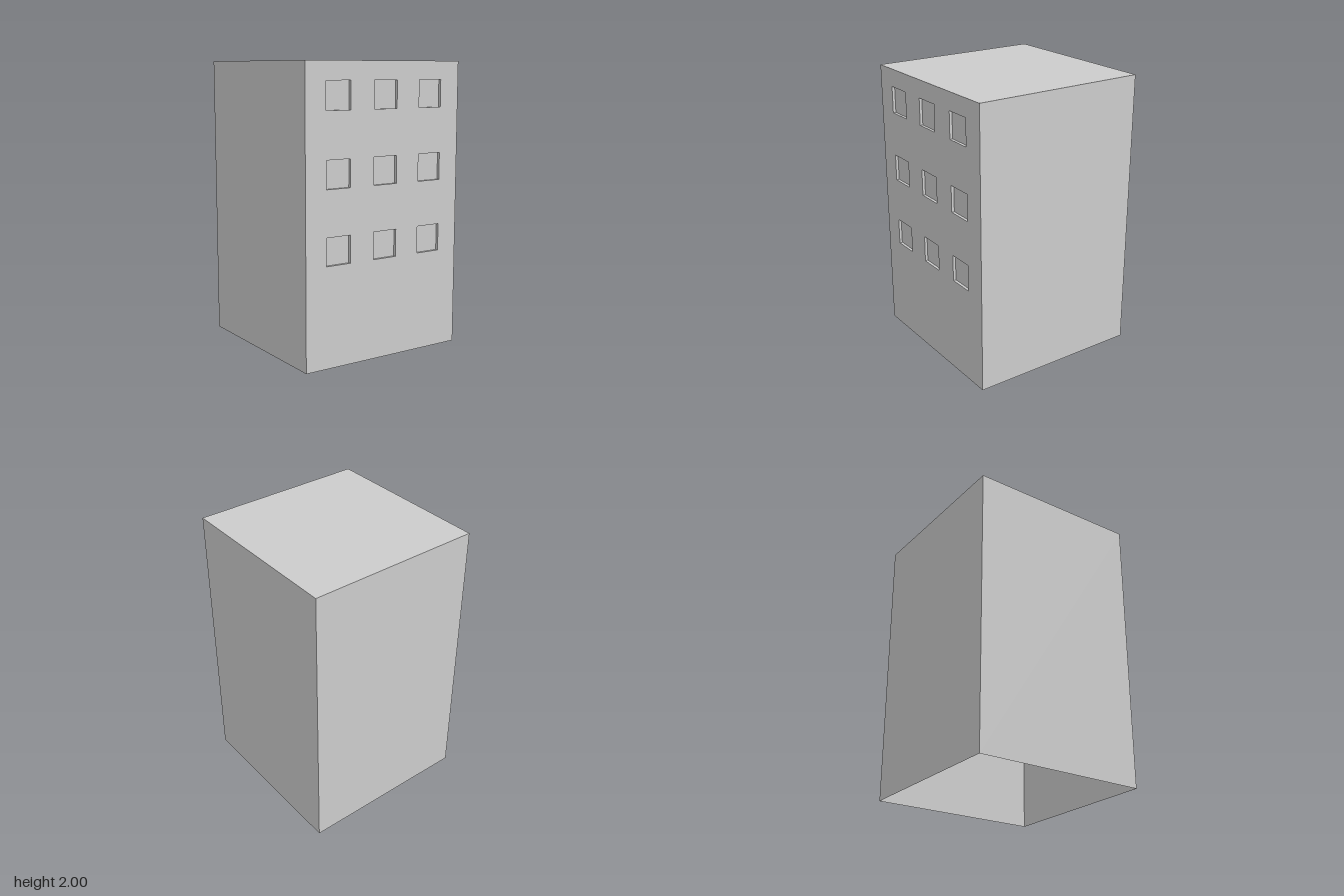
import * as THREE from 'three';

const W = 1.25, H = 2, HALF = W / 2;      // footprint and height
const WIN = 0.1875, DEPTH = 0.02;         // window size and recess depth
const COLS = [-0.375, 0, 0.375];
const ROWS = [0.78125, 1.28125, 1.78125];

const material = new THREE.MeshStandardMaterial({
  color: 0xcccccc, flatShading: true, side: THREE.DoubleSide,
});

// Flat rectangle, facing +z before it is turned
function panel(name, w, h, position, rotX = 0, rotY = 0) {
  const mesh = new THREE.Mesh(new THREE.PlaneGeometry(w, h), material);
  mesh.name = name;
  mesh.position.set(...position);
  mesh.rotation.set(rotX, rotY, 0);
  return mesh;
}

// Front wall with a square opening for each window
function frontWall() {
  const shape = new THREE.Shape();
  shape.moveTo(-HALF, 0).lineTo(HALF, 0).lineTo(HALF, H).lineTo(-HALF, H).closePath();
  const r = WIN / 2;
  for (const y of ROWS) {
    for (const x of COLS) {
      const hole = new THREE.Path();
      hole.moveTo(x - r, y - r).lineTo(x - r, y + r).lineTo(x + r, y + r).lineTo(x + r, y - r).closePath();
      shape.holes.push(hole);
    }
  }
  const mesh = new THREE.Mesh(new THREE.ShapeGeometry(shape), material);
  mesh.name = 'frontWall';
  mesh.position.z = HALF;
  return mesh;
}

// Shallow recess: a pane set back behind four reveals
function recessedWindow(x, y) {
  const win = new THREE.Group();
  win.name = 'window';
  const r = WIN / 2, mid = -DEPTH / 2, q = Math.PI / 2;
  win.add(
    panel('pane', WIN, WIN, [0, 0, -DEPTH]),
    panel('sill', WIN, DEPTH, [0, -r, mid], -q),
    panel('lintel', WIN, DEPTH, [0, r, mid], q),
    panel('rightReveal', DEPTH, WIN, [-r, 0, mid], 0, q),
    panel('leftReveal', DEPTH, WIN, [r, 0, mid], 0, -q),
  );
  win.position.set(x, y, HALF);
  return win;
}

export function createModel() {
  const building = new THREE.Group();
  building.name = 'building';
  const q = Math.PI / 2;

  // Thin shell, open underneath
  building.add(
    frontWall(),
    panel('backWall', W, H, [0, H / 2, -HALF], 0, Math.PI),
    panel('leftWall', W, H, [HALF, H / 2, 0], 0, q),
    panel('rightWall', W, H, [-HALF, H / 2, 0], 0, -q),
    panel('roof', W, W, [0, H, 0], -q),
  );

  for (const y of ROWS) for (const x of COLS) building.add(recessedWindow(x, y));
  return building;
}
